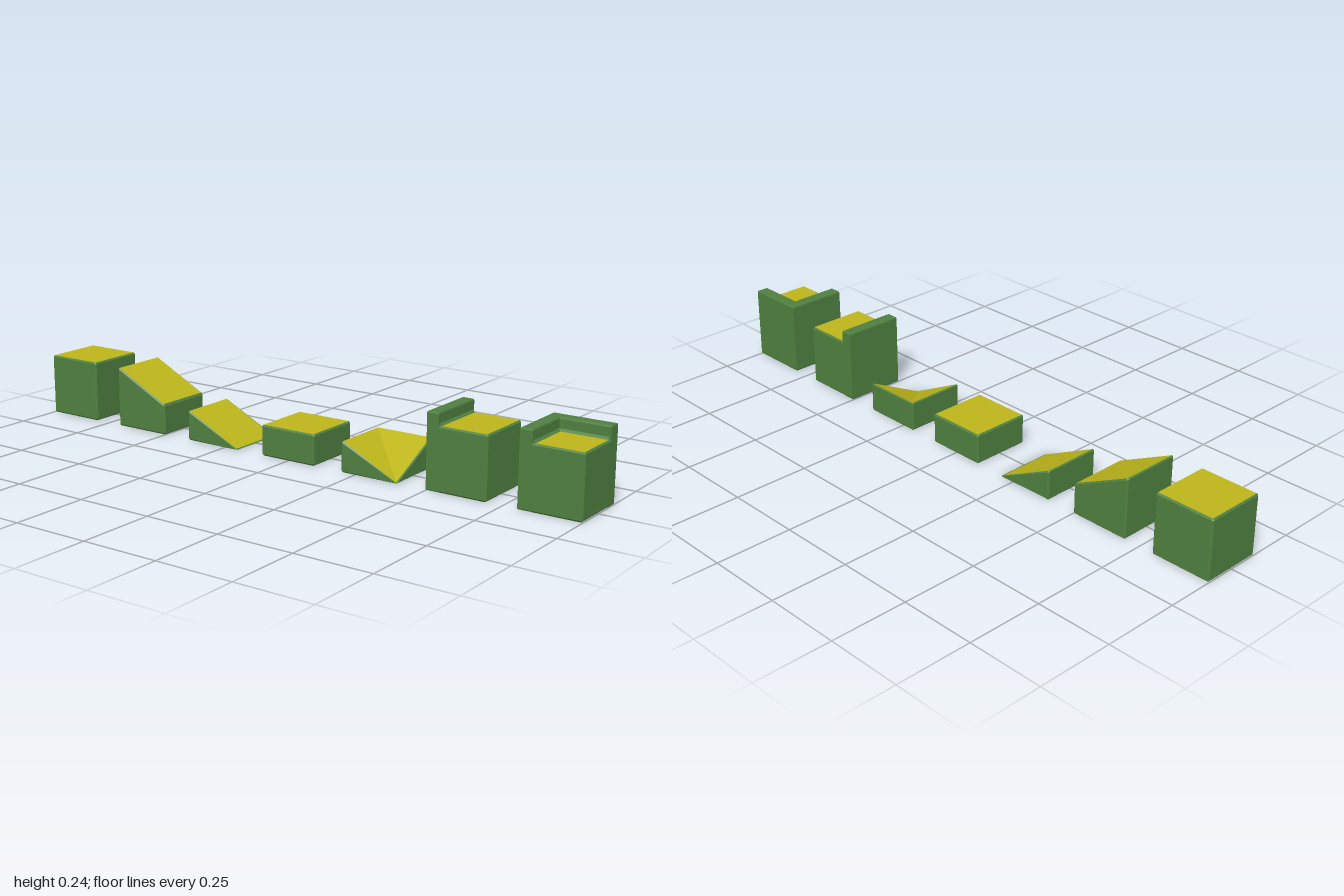
import * as THREE from 'three';

const green = new THREE.MeshStandardMaterial({ color: 0x4f8040 });
const yellow = new THREE.MeshStandardMaterial({ color: 0xbdb51a });
const W = 0.1;      // half width of a tile
const B = 0.005;    // bevel
const RAIL = 0.04;  // thickness of the raised rim
const TOP = 0.24;   // height of the rim

function mesh(name, geometry, material) {
  const m = new THREE.Mesh(geometry, material);
  m.name = name;
  return m;
}

function flat(points) {
  const g = new THREE.BufferGeometry().setFromPoints(points);
  g.computeVertexNormals();
  return g;
}

// Bevelled block whose top follows height(x, z), with a coloured cap on it.
function block(height, x0 = -W, z0 = -W) {
  const corners = [[1, 1], [-1, 1], [-1, -1], [1, -1]];
  const at = (sx, sz, ix, iz) => [sx > 0 ? W - ix : x0 + ix, sz > 0 ? W - iz : z0 + iz];
  const ring = (inset, level) => corners.flatMap(([sx, sz]) => {
    const pair = inset
      ? [at(sx, sz, B, B), at(sx, sz, B, B)]
      : [at(sx, sz, 0, B), at(sx, sz, B, 0)];
    if (sx * sz < 0) pair.reverse();
    return pair.map(([x, z]) => new THREE.Vector3(x, level(height(x, z)), z));
  });
  const rings = [
    ring(true, () => 0),
    ring(false, h => Math.min(B, h / 2)),
    ring(false, h => Math.max(h - B, h / 2)),
    ring(true, h => h),
  ];

  const body = [];
  for (let r = 0; r < 3; r++) {
    for (let i = 0; i < 8; i++) {
      const j = (i + 1) % 8, lo = rings[r], hi = rings[r + 1];
      body.push(lo[i], hi[i], lo[j], hi[i], hi[j], lo[j]);
    }
  }
  const b = rings[0], t = rings[3];
  body.push(b[0], b[2], b[4], b[0], b[4], b[6]);
  const cap = [t[0], t[4], t[2], t[0], t[6], t[4]];
  return [mesh('tileBody', flat(body), green), mesh('tileTop', flat(cap), yellow)];
}

// Full-height wall with bevelled rim, from a plan outline of [x, z] points.
function wall(outline) {
  const shape = new THREE.Shape(outline.map(([x, z]) => new THREE.Vector2(x, -z)));
  const g = new THREE.ExtrudeGeometry(shape, {
    depth: TOP - 2 * B, bevelThickness: B, bevelSize: B, bevelOffset: -B, bevelSegments: 2,
  });
  g.rotateX(-Math.PI / 2).translate(0, B, 0);
  return mesh('raisedRim', g, green);
}

// Small sloped strip where the rim meets the top surface.
function fillet(length) {
  const g = new THREE.BoxGeometry(0.01, 0.01, length);
  g.rotateZ(Math.PI / 4);
  return mesh('rimFillet', g, green);
}

export function createModel() {
  const model = new THREE.Group();
  model.name = 'terrainTiles';
  const u = x => (x + W) / (2 * W);
  const inner = -W + RAIL;

  // Tile with a straight rim along one side
  const edgeFillet = fillet(2 * W - 2 * B);
  edgeFillet.position.set(inner, 0.2, 0);
  const edge = [
    ...block(() => 0.2, inner - B),
    wall([[-W, -W], [inner, -W], [inner, W], [-W, W]]),
    edgeFillet,
  ];

  // Tile with an L-shaped rim along two sides
  const sideFillet = fillet(W - inner - B);
  sideFillet.position.set(inner, 0.2, (W + inner - B) / 2);
  const backFillet = fillet(W - inner - B);
  backFillet.rotation.y = Math.PI / 2;
  backFillet.position.set((W + inner - B) / 2, 0.2, inner);
  const corner = [
    ...block(() => 0.2, inner - B, inner - B),
    wall([[-W, -W], [W, -W], [W, inner], [inner, inner], [inner, W], [-W, W]]),
    sideFillet, backFillet,
  ];

  const tiles = [
    ['fullBlock', block(() => 0.2)],
    ['upperSlope', block(x => 0.2 - 0.1 * u(x))],
    ['lowerSlope', block(x => 0.1 - 0.1 * u(x))],
    ['halfBlock', block(() => 0.1)],
    ['valleySlope', block((x, z) => 0.1 * (1 - Math.min(u(x), u(z))))],
    ['edgeRimBlock', edge],
    ['cornerRimBlock', corner],
  ];
  tiles.forEach(([name, parts], i) => {
    const tile = new THREE.Group();
    tile.name = name;
    tile.add(...parts);
    tile.position.x = -0.9 + 0.3 * i;
    model.add(tile);
  });
  return model;
}
